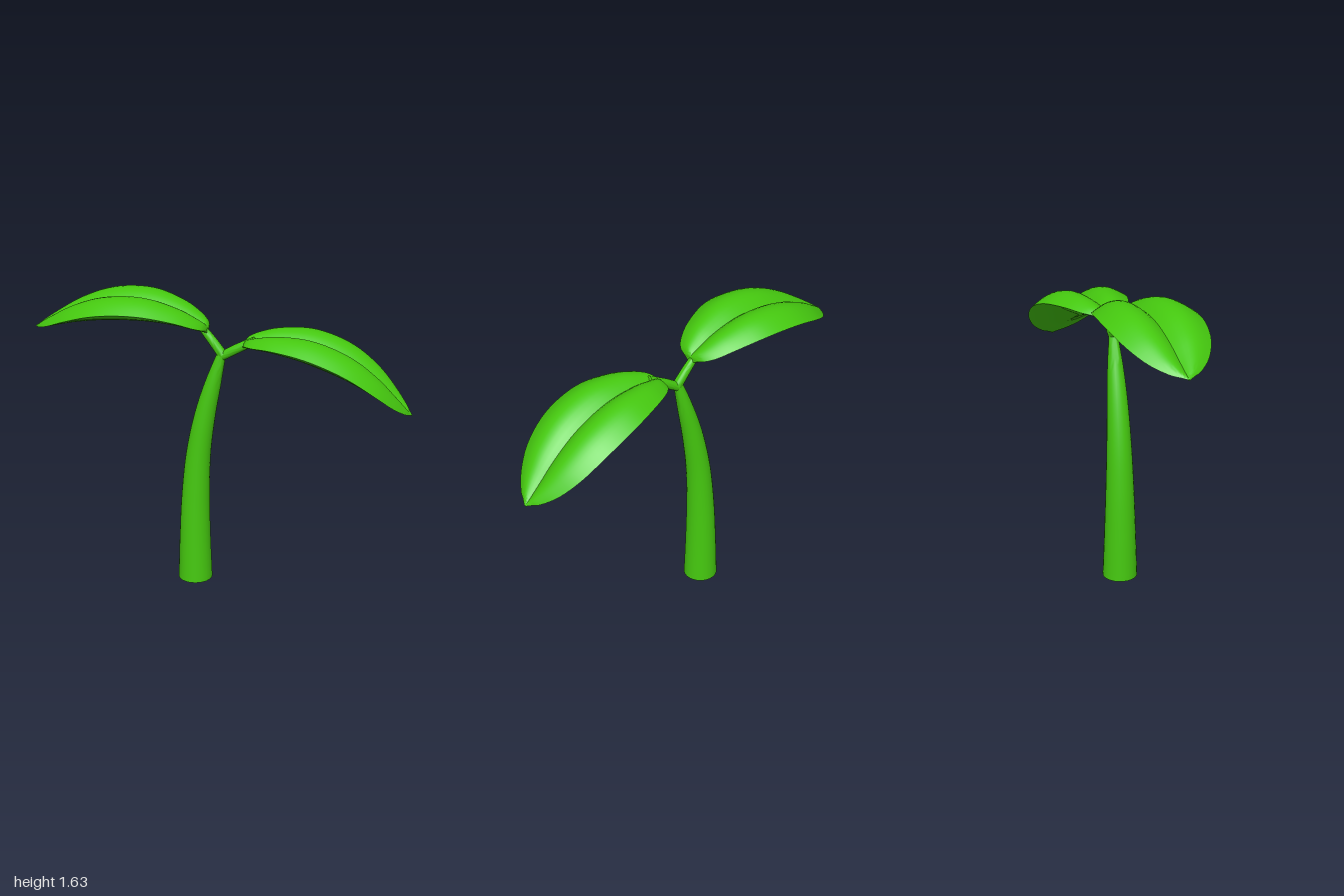
import * as THREE from 'three';
import { toCreasedNormals } from 'three/addons/utils/BufferGeometryUtils.js';

const green = new THREE.MeshStandardMaterial({ color: 0x45c80f });

// Skin a list of closed rings (running from N to B around the path) and cap both ends
function loft(rings) {
  const n = rings[0].length, pos = [], idx = [];
  for (const ring of rings) for (const p of ring) pos.push(p.x, p.y, p.z);
  for (let i = 0; i < rings.length - 1; i++) {
    for (let j = 0; j < n; j++) {
      const k = (j + 1) % n, a = i * n, b = a + n;
      idx.push(a + j, a + k, b + k, a + j, b + k, b + j);
    }
  }
  [0, rings.length - 1].forEach((r, end) => {
    const c = new THREE.Vector3();
    rings[r].forEach((p) => c.addScaledVector(p, 1 / n));
    const ci = pos.length / 3;
    pos.push(c.x, c.y, c.z);
    for (let j = 0; j < n; j++) {
      const a = r * n + j, b = r * n + (j + 1) % n;
      if (end) idx.push(ci, a, b); else idx.push(ci, b, a);
    }
  });
  const g = new THREE.BufferGeometry();
  g.setAttribute('position', new THREE.Float32BufferAttribute(pos, 3));
  g.setIndex(idx);
  return toCreasedNormals(g, 0.9);
}

// Round stalk with changing thickness; each point is [x, y, radius]
function stalk(name, points, steps) {
  const path = new THREE.CatmullRomCurve3(points.map(([x, y]) => new THREE.Vector3(x, y, 0)));
  const thick = new THREE.CatmullRomCurve3(points.map(([x, y, r]) => new THREE.Vector3(x, y, r)));
  const frames = path.computeFrenetFrames(steps, false);
  const rings = [];
  for (let i = 0; i <= steps; i++) {
    const c = path.getPointAt(i / steps);
    const r = thick.getPointAt(i / steps).z;
    rings.push(Array.from({ length: 24 }, (_, j) => {
      const a = (j / 24) * Math.PI * 2;
      return c.clone()
        .addScaledVector(frames.normals[i], Math.cos(a) * r)
        .addScaledVector(frames.binormals[i], Math.sin(a) * r);
    }));
  }
  const mesh = new THREE.Mesh(loft(rings), green);
  mesh.name = name;
  return mesh;
}

// Leaf stations: [position along the leaf, top of midrib, keel underneath, half width]
const stations = [
  [0, 0.012, -0.02, 0.055], [0.015, 0.025, -0.012, 0.095], [0.06, 0.05, 0, 0.14],
  [0.15, 0.092, 0.02, 0.188], [0.3, 0.135, 0.04, 0.235], [0.45, 0.147, 0.047, 0.25],
  [0.6, 0.134, 0.045, 0.243], [0.75, 0.094, 0.034, 0.21], [0.87, 0.048, 0.016, 0.15],
  [0.95, 0.018, 0.004, 0.08], [0.98, 0.008, 0, 0.035], [1, 0.003, -0.003, 0.008],
];

// Arched leaf: two swollen lobes beside a sunken midrib, shallow keel below
function leafGeometry() {
  const length = 0.94, half = 14, steps = 44;
  const spine = new THREE.CatmullRomCurve3(
    stations.map(([u, t, b]) => new THREE.Vector3(u, t, b)), false, 'catmullrom');
  const outline = new THREE.CatmullRomCurve3(
    stations.map(([u, , , w]) => new THREE.Vector3(u, w, 0)), false, 'catmullrom');
  const rings = [];
  for (let i = 0; i <= steps; i++) {
    const { x: u, y: top, z: keel } = spine.getPoint(i / steps);
    const w = outline.getPoint(i / steps).y;
    const swell = w / 0.25;
    const edge = THREE.MathUtils.lerp(top, keel, 0.12);
    const ring = [];
    for (let k = 0; k < half * 2; k++) {
      const s = Math.sin((k / half - 1) * Math.PI / 2), a = Math.abs(s);
      const y = top + (edge - top) * a * a + 0.052 * swell * Math.sin(Math.PI * Math.pow(a, 0.9));
      ring.push(new THREE.Vector3(u * length, y, s * w));
    }
    for (let k = 0; k < half * 2; k++) {
      const s = Math.sin((1 - k / half) * Math.PI / 2), a = Math.abs(s);
      ring.push(new THREE.Vector3(u * length, keel + (edge - keel) * Math.pow(a, 1.4), s * w));
    }
    rings.push(ring);
  }
  return loft(rings);
}

export function createModel() {
  const model = new THREE.Group();
  model.name = 'sprout';

  // Tapering stem that bends toward its tip
  model.add(stalk('stem', [
    [-0.145, 0, 0.095], [-0.145, 0.25, 0.086], [-0.14, 0.5, 0.077], [-0.122, 0.75, 0.067],
    [-0.083, 0.98, 0.056], [-0.035, 1.17, 0.042], [0.013, 1.34, 0.022],
  ], 40));

  // Short leaf stalks forking from the stem tip
  model.add(stalk('leftLeafStalk', [[0.015, 1.315, 0.024], [0.09, 1.36, 0.025], [0.19, 1.415, 0.022]], 8));
  model.add(stalk('rightLeafStalk', [[0.015, 1.32, 0.026], [-0.04, 1.39, 0.024], [-0.1, 1.46, 0.02]], 8));

  // The same leaf on both sides, the left one drooping further
  const geometry = leafGeometry();
  for (const [name, x, y, yaw, tilt] of [
    ['leftLeaf', 0.13, 1.39, 0.15, -0.365],
    ['rightLeaf', -0.068, 1.45, Math.PI + 0.11, -0.043],
  ]) {
    const leaf = new THREE.Mesh(geometry, green);
    leaf.name = name;
    leaf.position.set(x, y, 0);
    leaf.rotation.set(0, yaw, tilt);
    model.add(leaf);
  }
  return model;
}
